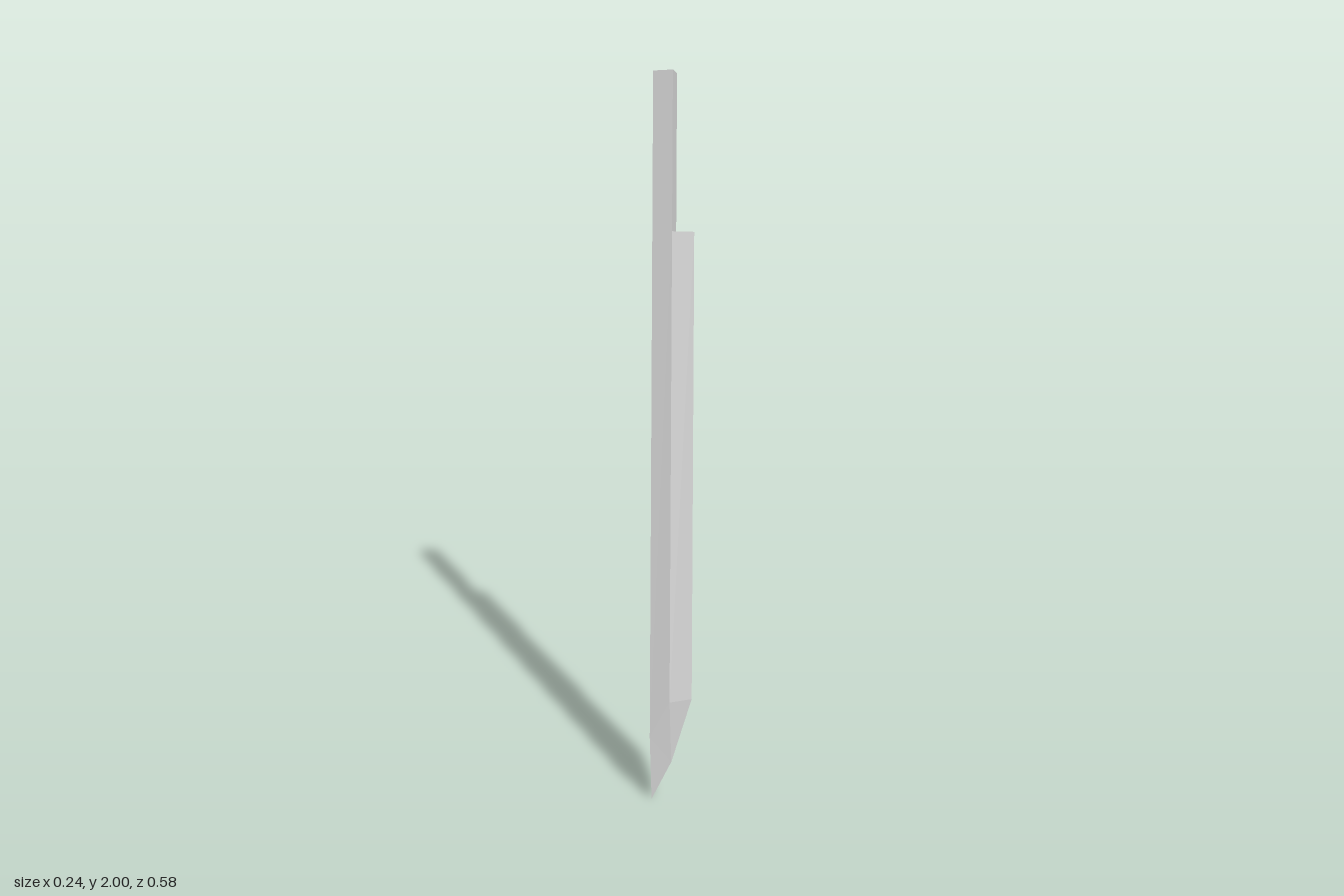
import * as THREE from 'three';

const W = 0.058, EDGE = 0.117, T = 0.0225; // spine width, full width, half thickness
const SHOULDER = 0.437;                    // distance from the butt to the blade

// s: across the blade, n: through its thickness, d: down the slanted axis
const place = (s, n, d) => [
  -0.12 + s + 0.0705 * d,
  1.994 + 0.06 * s + 0.27 * n - d,
  -0.2675 + n + 0.279 * d,
];
const mirror = (face) => face.map(([s, n, d]) => [s, -n, d]).reverse();

// Flat-shaded mesh from convex faces, each cut into a fan
function facetMesh(name, faces) {
  const pos = [];
  for (const f of faces) {
    for (let i = 1; i < f.length - 1; i++) {
      for (const p of [f[0], f[i], f[i + 1]]) pos.push(...place(...p));
    }
  }
  const geo = new THREE.BufferGeometry();
  geo.setAttribute('position', new THREE.Float32BufferAttribute(pos, 3));
  geo.computeVertexNormals();
  const mat = new THREE.MeshStandardMaterial({ color: 0xcccccc, flatShading: true });
  const mesh = new THREE.Mesh(geo, mat);
  mesh.name = name;
  return mesh;
}

export function createModel() {
  const group = new THREE.Group();
  group.name = 'sword';

  // Square grip
  const gripFront = [[0, T, SHOULDER], [W, T, SHOULDER], [W, T, 0], [0, T, 0]];
  group.add(facetMesh('handle', [
    gripFront,
    mirror(gripFront),
    [[W, T, SHOULDER], [W, -T, SHOULDER], [W, -T, 0], [W, T, 0]],
    [[0, -T, SHOULDER], [0, T, SHOULDER], [0, T, 0], [0, -T, 0]],
    [[0, T, 0], [W, T, 0], [W, -T, 0], [0, -T, 0]],
  ]));

  // Blade: thick spine, wedge to the cutting edge, bevelled point
  const back = [0, T, 1.82], ridge = [W, T, 1.72], edge = [EDGE, 0, 1.711];
  const tip = [0, 0, 1.994], mid = [W, 0, 1.888];
  const ridgeTop = [W, T, SHOULDER], edgeTop = [EDGE, 0, SHOULDER];
  const side = [
    [back, ridge, ridgeTop, [0, T, SHOULDER]],
    [ridge, edge, edgeTop, ridgeTop],
    [back, tip, mid],
    [back, mid, ridge],
    [ridge, mid, edge],
  ];
  group.add(facetMesh('blade', [
    ...side,
    ...side.map(mirror),
    [[0, -T, 1.82], back, [0, T, SHOULDER], [0, -T, SHOULDER]],
    [[0, -T, 1.82], tip, back],
    [ridgeTop, edgeTop, [W, -T, SHOULDER]],
  ]));

  return group;
}
